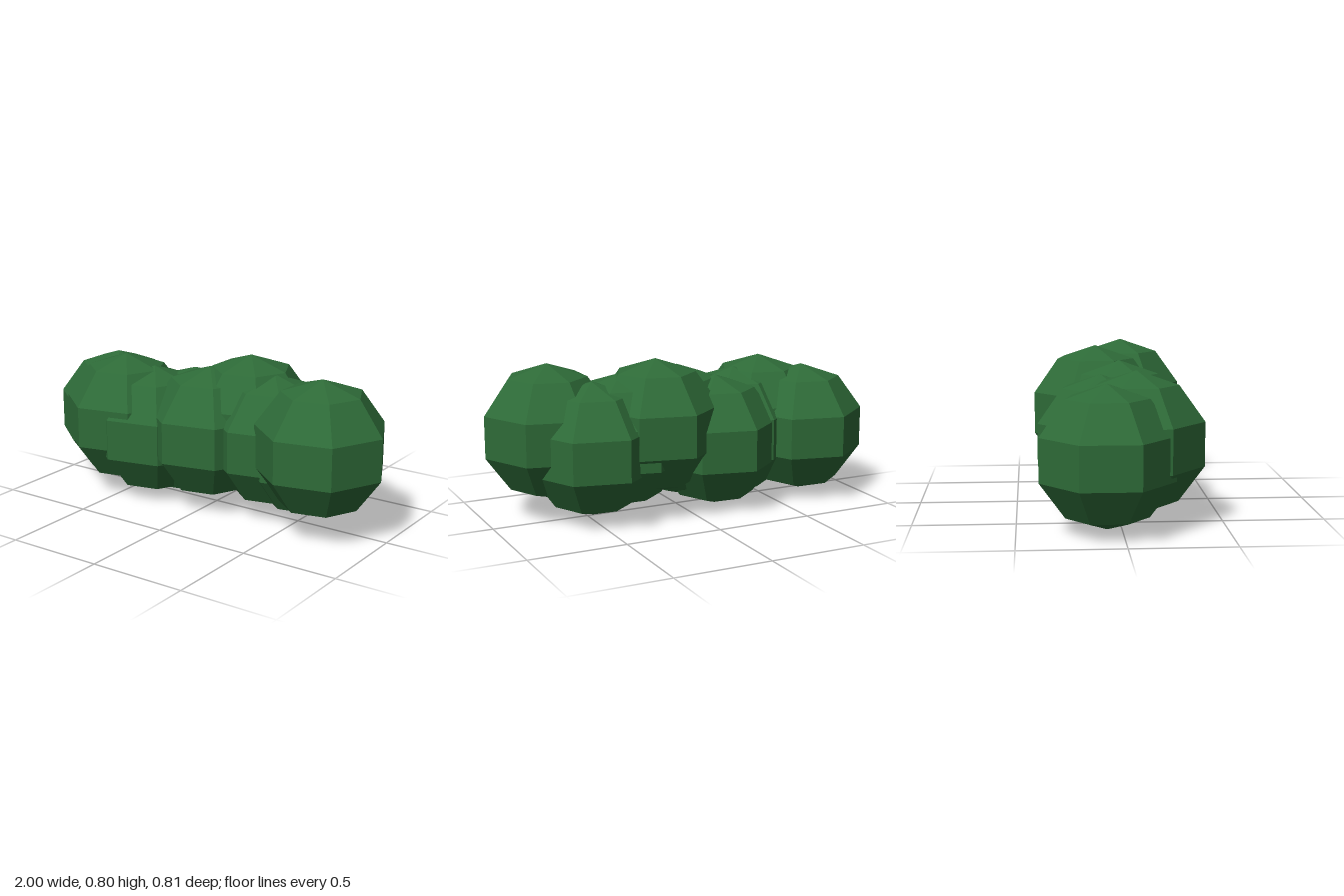
import * as THREE from 'three';

// Low-poly hedge: a row of overlapping faceted foliage clumps
export function createModel() {
  const group = new THREE.Group();
  group.name = 'hedge';
  const leafGreen = new THREE.MeshStandardMaterial({ color: 0x2e6b38, flatShading: true });
  leafGreen.name = 'leaf green';

  // Seven-sided ball with a corner pointing to +x
  const clump = new THREE.SphereGeometry(1, 7, 5);
  clump.rotateY(Math.PI);

  // x, y, z, radius of each clump, from the right end to the left end
  const clumps = [
    [-0.707, 0.362, -0.075, 0.342],
    [-0.53, 0.4, 0.076, 0.345],
    [-0.362, 0.355, 0.05, 0.342],
    [-0.19, 0.345, -0.075, 0.343],
    [-0.02, 0.395, 0.03, 0.345],
    [0.155, 0.457, -0.085, 0.345],
    [0.325, 0.393, -0.04, 0.342],
    [0.497, 0.37, -0.074, 0.341],
    [0.671, 0.445, 0.084, 0.345],
  ];
  clumps.forEach(([x, y, z, r], i) => {
    const mesh = new THREE.Mesh(clump, leafGreen);
    mesh.name = `foliageClump${i + 1}`;
    mesh.position.set(x, y, z);
    mesh.scale.setScalar(r);
    group.add(mesh);
  });
  return group;
}
